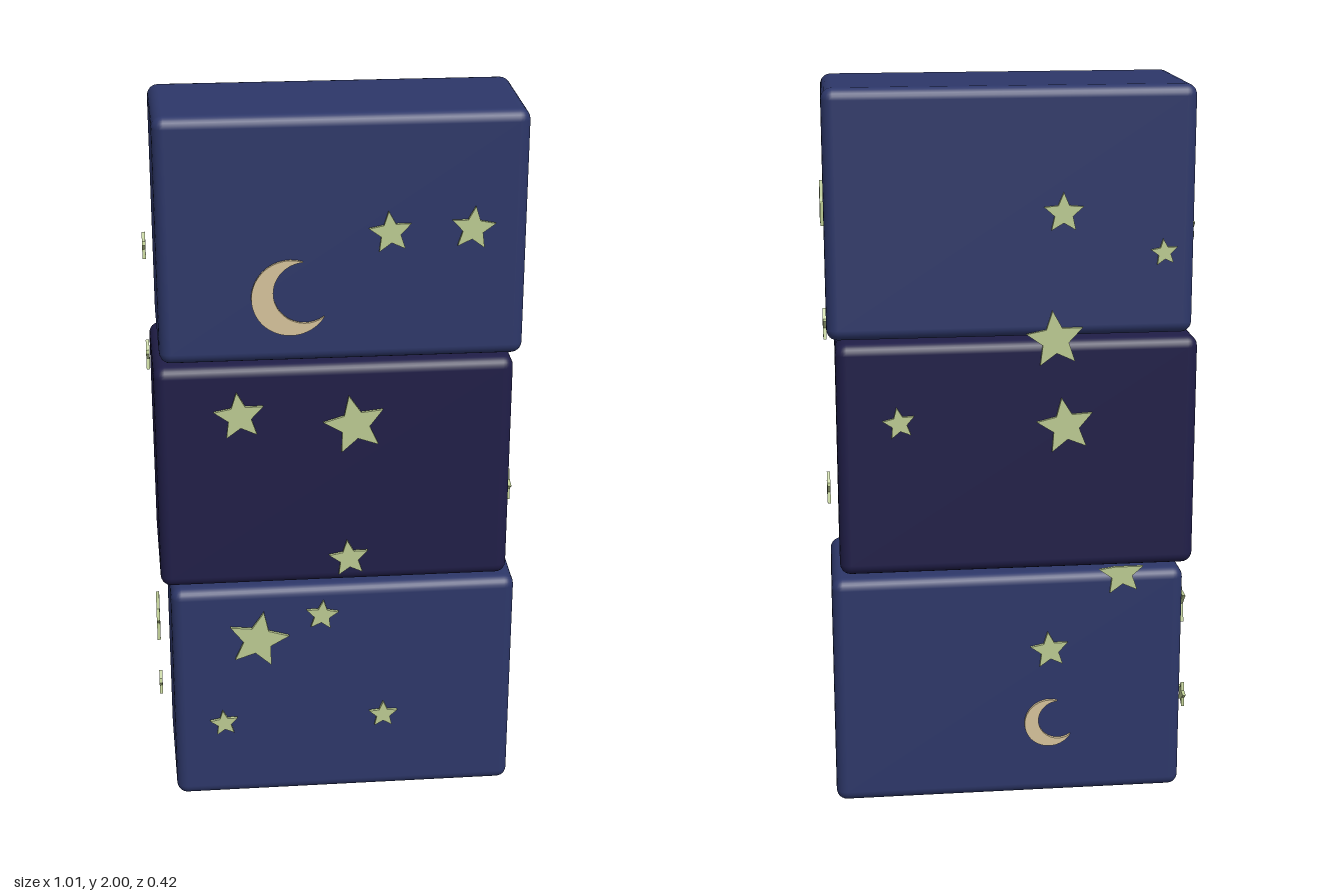
import * as THREE from 'three';
import { RoundedBoxGeometry } from 'three/addons/geometries/RoundedBoxGeometry.js';

const material = (name, color) => {
  const m = new THREE.MeshStandardMaterial({ color });
  m.name = name;
  return m;
};

// Soft-edged block, slightly wider at the back than at the front
function makeBlock(name, mat, x0, x1, y0, y1) {
  const geo = new RoundedBoxGeometry(x1 - x0, y1 - y0, 0.395, 3, 0.03);
  const p = geo.attributes.position;
  for (let i = 0; i < p.count; i++) {
    p.setX(i, p.getX(i) * (0.992 - 0.04 * p.getZ(i)));
  }
  const mesh = new THREE.Mesh(geo, mat);
  mesh.name = name;
  mesh.position.set((x0 + x1) / 2, (y0 + y1) / 2, -0.003);
  return mesh;
}

// Five-pointed star; maxU and maxV trim tips that sink into a block
function starShape(r, turn = 0, maxU = 1, maxV = 1) {
  const pts = [];
  for (let i = 0; i < 10; i++) {
    const a = Math.PI / 2 + turn + (i * Math.PI) / 5;
    const d = i % 2 ? r * 0.46 : r;
    pts.push(new THREE.Vector2(Math.min(d * Math.cos(a), maxU), Math.min(d * Math.sin(a), maxV)));
  }
  return new THREE.Shape(pts);
}

// Crescent: outer arc closed by a smaller offset arc
function moonShape(r) {
  const s = new THREE.Shape();
  s.absarc(0, 0, r, 0.9, Math.PI * 2 - 0.9, false);
  s.absarc(r * 0.39, 0, r * 0.81, Math.PI * 2 - 1.284, 1.284, true);
  return s;
}

function makePlate(name, shape, mat, u, v, turn = 0) {
  const geo = new THREE.ExtrudeGeometry(shape, { depth: 0.009, bevelEnabled: false, curveSegments: 20 });
  const mesh = new THREE.Mesh(geo, mat);
  mesh.name = name;
  mesh.position.set(u, v, 0);
  mesh.rotation.z = turn;
  return mesh;
}

export function createModel() {
  const model = new THREE.Group();
  model.name = 'starryBlockStack';
  const blue = material('nightBlue', 0x2d3769);
  const indigo = material('darkIndigo', 0x201e48);
  const glow = material('paleGreen', 0xbccb92);
  const cream = material('moonCream', 0xd6c39b);

  // Three stacked blocks, offset a little from each other
  model.add(
    makeBlock('bottomBlock', blue, -0.477, 0.502, 0, 0.664),
    makeBlock('middleBlock', indigo, -0.502, 0.477, 0.677, 1.326),
    makeBlock('topBlock', blue, -0.484, 0.498, 1.336, 2),
  );

  // Each side: turn, distance out, stars [u, v, radius, turn, maxU, maxV], moons [u, v, radius]
  const sides = [
    {
      name: 'front', turn: 0, out: 0.2,
      stars: [
        [0.13, 1.69, 0.058, 0.1], [0.345, 1.695, 0.06, -0.1],
        [-0.27, 1.19, 0.07, 0.1], [0.04, 1.155, 0.086, 0.2], [0.025, 0.755, 0.056, 0.1],
        [-0.23, 0.51, 0.088, -0.2], [-0.05, 0.58, 0.047, -0.1],
        [-0.33, 0.245, 0.041, 0.1], [0.125, 0.25, 0.042, 0],
      ],
      moons: [[-0.13, 1.52, 0.103]],
    },
    {
      name: 'leftSide', turn: Math.PI / 2, out: 0.494,
      stars: [[0.01, 1.675, 0.065, -0.15, 0.025], [0.005, 1.34, 0.046, 0.1], [0, 0.87, 0.047, 0.1]],
      moons: [],
    },
    {
      name: 'back', turn: Math.PI, out: 0.202,
      stars: [
        [0.13, 1.67, 0.055, 0], [0.4, 1.56, 0.037, 0.1], [0.11, 1.33, 0.08, 0.1],
        [-0.31, 1.11, 0.045, 0.15], [0.14, 1.09, 0.08, 0.15],
        [0.3, 0.66, 0.065, 0.1, 1, 0.02], [0.1, 0.44, 0.055, 0.1],
      ],
      moons: [[0.1, 0.22, 0.07]],
    },
    {
      name: 'rightSide', turn: -Math.PI / 2, out: 0.502,
      stars: [[-0.025, 1.6, 0.038, 0], [0.035, 1.31, 0.042, 0.1], [0.005, 0.5, 0.076, -0.1], [-0.07, 0.23, 0.037, 0.1]],
      moons: [],
    },
  ];

  for (const side of sides) {
    const group = new THREE.Group();
    group.name = side.name + 'Decorations';
    group.rotation.y = side.turn;
    group.position.set(Math.sin(side.turn) * side.out, 0, Math.cos(side.turn) * side.out);
    for (const [u, v, ...shape] of side.stars) {
      group.add(makePlate('star', starShape(...shape), glow, u, v));
    }
    for (const [u, v, r] of side.moons) {
      group.add(makePlate('moon', moonShape(r), cream, u, v, 0.35));
    }
    model.add(group);
  }
  return model;
}
